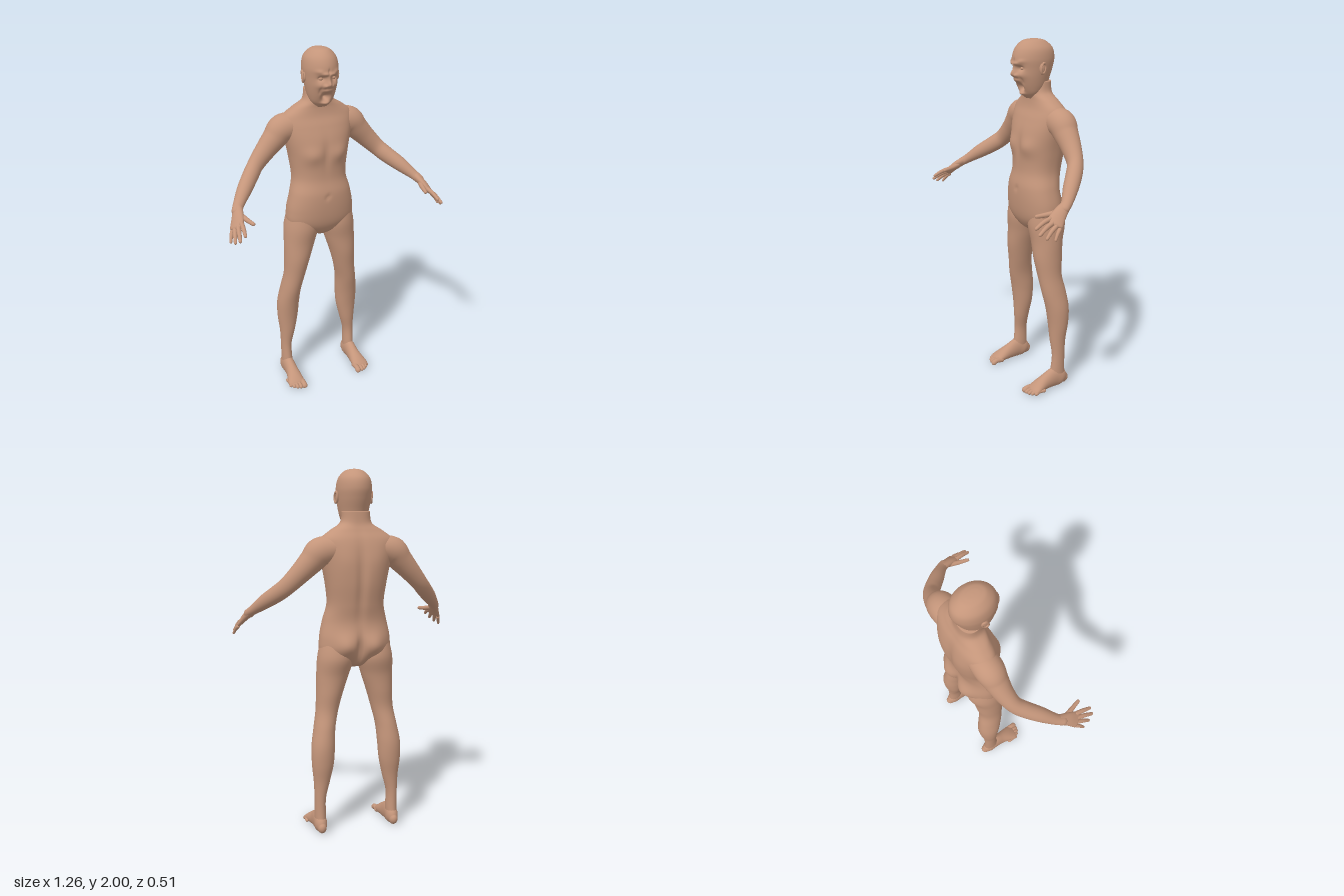
import * as THREE from 'three';

const skinTone = new THREE.MeshStandardMaterial({ color: 0xc4957a });
skinTone.name = 'skin';

const V = (x, y, z) => new THREE.Vector3(x, y, z);

// Smoothly refine rows of numbers, n steps between neighbouring rows
function refine(rows, n) {
  const out = [], last = rows.length - 1;
  for (let i = 0; i <= last * n; i++) {
    const k = Math.min(Math.floor(i / n), last - 1), t = i / n - k;
    const [a, b, c, d] = [k - 1, k, k + 1, k + 2].map(j => rows[Math.max(0, Math.min(last, j))]);
    out.push(b.map((p, q) => p + 0.5 * t * (c[q] - a[q]
      + t * (2 * a[q] - 5 * p + 4 * c[q] - d[q] + t * (3 * (p - c[q]) + d[q] - a[q])))));
  }
  return out;
}

// Join closed rings into a smooth surface; side -1 mirrors it across x
function skin(name, rings, side = 1) {
  const m = rings[0].length, n = rings.length, pos = [], idx = [];
  const mean = r => r.reduce((s, p) => s.add(p), V(0, 0, 0)).divideScalar(m);
  for (const p of [...rings.flat(), mean(rings[0]), mean(rings[n - 1])]) pos.push(p.x * side, p.y, p.z);
  const tri = (a, b, c) => side > 0 ? idx.push(a, b, c) : idx.push(a, c, b);
  for (let j = 0; j < m; j++) {
    const k = (j + 1) % m;
    for (let i = 0; i < n - 1; i++) {
      const a = i * m, b = a + m;
      tri(a + j, a + k, b + k);
      tri(a + j, b + k, b + j);
    }
    tri(n * m, k, j);
    tri(n * m + 1, (n - 1) * m + j, (n - 1) * m + k);
  }
  const geo = new THREE.BufferGeometry();
  geo.setAttribute('position', new THREE.Float32BufferAttribute(pos, 3));
  geo.setIndex(idx);
  geo.computeVertexNormals();
  const mesh = new THREE.Mesh(geo, skinTone);
  mesh.name = name;
  return mesh;
}

// Round-ended limb along a path; rows are [x, y, z, radius along ref, radius across]
function limb(name, rows, ref, side, m = 20, floor = -1) {
  const s = refine(rows, 6), c = s.map(r => V(r[0], r[1], r[2])), rings = [];
  const add = (i, angle, dir) => {
    const t = c[Math.min(i + 1, c.length - 1)].clone().sub(c[Math.max(i - 1, 0)]).normalize();
    const u = ref.clone().addScaledVector(t, -ref.dot(t)).normalize();
    const v = t.clone().cross(u), [a, b] = s[i].slice(3), f = Math.cos(angle);
    const o = c[i].clone().addScaledVector(t, dir * Math.sin(angle) * Math.min(a, b));
    rings.push(Array.from({ length: m }, (_, j) => {
      const q = j / m * Math.PI * 2;
      const p = o.clone().addScaledVector(u, a * f * Math.cos(q)).addScaledVector(v, b * f * Math.sin(q));
      p.y = Math.max(p.y, floor);
      return p;
    }));
  };
  for (let k = 4; k > 0; k--) add(0, k * 0.38, -1);
  s.forEach((_, i) => add(i, 0, 0));
  for (let k = 1; k < 5; k++) add(s.length - 1, k * 0.38, 1);
  return skin(name, rings, side);
}

// Upright form from rows [y, xMin, xMax, zFront, zBack], lowest first
function stack(name, rows, { side = 1, m = 40, n = 6, power = 1, relief = () => 0 } = {}) {
  const soft = q => Math.sign(q) * Math.abs(q) ** power;
  return skin(name, refine(rows, n).map(([y, x0, x1, zf, zb]) => Array.from({ length: m }, (_, j) => {
    const q = j / m * Math.PI * 2, k = -Math.sin(q);
    const x = (x0 + x1) / 2 + (x1 - x0) / 2 * soft(Math.cos(q));
    return V(x, y, (zf + zb) / 2 + (zf - zb) / 2 * soft(k) + relief(Math.abs(x), y, k));
  })), side);
}

// Sum of soft bumps [x, y, width, height, amount]
const bumps = list => (x, y) => list.reduce((sum, [cx, cy, w, h, a]) =>
  sum + a * Math.exp(-(((x - cx) / w) ** 2) - ((y - cy) / h) ** 2), 0);
const symmetric = rows => rows.map(([y, w, f, b]) => [y, -w, w, f, b]);

export function createModel() {
  const body = new THREE.Group();
  body.name = 'body';

  // Torso and neck, with chest, navel, spine groove and buttocks
  const chest = bumps([[0.085, 1.43, 0.06, 0.045, 0.018], [0, 1.19, 0.012, 0.014, -0.008], [0, 1.43, 0.02, 0.08, -0.006]]);
  const back = bumps([[0, 1.4, 0.025, 0.2, 0.014], [0.085, 1.065, 0.065, 0.06, -0.034],
    [0, 1.04, 0.016, 0.07, 0.03], [0.09, 1.52, 0.06, 0.09, -0.008]]);
  body.add(stack('torso', symmetric([
    [0.94, 0.04, -0.06, -0.14], [0.965, 0.1, -0.03, -0.18], [1.02, 0.19, 0, -0.215], [1.1, 0.198, 0.014, -0.225],
    [1.2, 0.178, 0.016, -0.217], [1.29, 0.157, 0, -0.232], [1.4, 0.168, 0, -0.25], [1.5, 0.188, -0.006, -0.25],
    [1.58, 0.205, -0.03, -0.24], [1.635, 0.2, -0.052, -0.226], [1.68, 0.145, -0.06, -0.205],
    [1.72, 0.086, -0.06, -0.19], [1.78, 0.076, -0.075, -0.185]]), {
    m: 96, n: 8, power: 0.88, relief: (x, y, k) => k > 0 ? k * chest(x, y) : -k * back(x, y) }));

  // Head with scowling brow, broad nose and wide open mouth
  const face = bumps([
    [0, 1.822, 0.014, 0.018, 0.026], [0, 1.852, 0.01, 0.025, 0.01], [0.02, 1.814, 0.01, 0.01, 0.016],
    [0.036, 1.852, 0.016, 0.012, -0.02], [0.022, 1.876, 0.022, 0.009, 0.012], [0.05, 1.888, 0.018, 0.01, 0.008],
    [0, 1.888, 0.005, 0.014, -0.008], [0.046, 1.815, 0.018, 0.018, 0.012], [0.04, 1.785, 0.007, 0.018, -0.007],
    [0, 1.75, 0.023, 0.022, -0.048], [0, 1.787, 0.03, 0.009, 0.012], [0, 1.713, 0.026, 0.01, 0.016]]);
  body.add(stack('head', symmetric([
    [1.688, 0.03, -0.05, -0.09], [1.715, 0.058, -0.022, -0.13], [1.75, 0.073, 0, -0.165], [1.8, 0.084, 0.018, -0.185],
    [1.85, 0.091, 0.024, -0.202], [1.9, 0.094, 0.03, -0.212], [1.95, 0.084, 0.014, -0.202],
    [1.985, 0.055, -0.018, -0.165], [1.997, 0.028, -0.05, -0.13], [2, 0.004, -0.085, -0.095]]), {
    m: 128, n: 10, relief: (x, y, k) => k > 0 ? k * face(x, y) : 0 }));

  for (const side of [1, -1]) {
    const tag = side > 0 ? 'left' : 'right';
    const ball = (name, r, p, scale) => {
      const mesh = new THREE.Mesh(new THREE.SphereGeometry(r, 20, 14), skinTone);
      mesh.name = tag + name;
      mesh.position.set(p[0] * side, p[1], p[2]);
      mesh.scale.set(...scale);
      body.add(mesh);
      return mesh;
    };

    // Eye and ear
    ball('Eye', 0.013, [0.036, 1.851, -0.004], [1, 0.8, 1]);
    ball('EarBase', 0.024, [0.093, 1.85, -0.09], [0.35, 1.15, 0.75]);
    const rim = new THREE.Mesh(new THREE.TorusGeometry(0.021, 0.006, 10, 28), skinTone);
    rim.name = tag + 'EarRim';
    rim.position.set(0.099 * side, 1.852, -0.093);
    rim.rotation.set(-0.2, Math.PI / 2 + 0.25 * side, 0);
    rim.scale.set(0.75, 1.3, 1);
    body.add(rim);

    // Arm
    body.add(limb(tag + 'Arm', [
      [0.11, 1.585, -0.145, 0.07, 0.075], [0.2, 1.568, -0.145, 0.079, 0.077], [0.25, 1.52, -0.142, 0.067, 0.066],
      [0.31, 1.458, -0.135, 0.056, 0.053], [0.37, 1.397, -0.117, 0.048, 0.043], [0.415, 1.354, -0.08, 0.046, 0.043],
      [0.475, 1.303, -0.018, 0.04, 0.04], [0.53, 1.252, 0.042, 0.027, 0.03], [0.552, 1.23, 0.075, 0.024, 0.028]],
    V(0, 1, 0), side, 32));

    // Hand: palm, four fingers and thumb
    const across = V(0.7, -0.6, -0.35);
    body.add(limb(tag + 'Palm', [[0.54, 1.243, 0.055, 0.027, 0.024], [0.562, 1.208, 0.11, 0.037, 0.02],
      [0.581, 1.174, 0.148, 0.043, 0.014]], across, side));
    [['Index', 0.558, 1.195, 0.16, 0.57, 1.163, 0.247], ['Middle', 0.576, 1.179, 0.157, 0.597, 1.138, 0.243],
      ['Ring', 0.592, 1.163, 0.148, 0.613, 1.119, 0.212], ['Little', 0.604, 1.149, 0.134, 0.624, 1.108, 0.17],
      ['Thumb', 0.545, 1.22, 0.09, 0.512, 1.202, 0.208]].forEach(([name, x, y, z, a, b, c], i) => {
      const r = [0.0115, 0.0118, 0.011, 0.0095, 0.013][i], bend = i < 4 ? 0.005 : -0.003;
      body.add(limb(tag + name + 'Finger', [[x, y, z, r * 1.1, r * 1.1],
        [(x + a) / 2, (y + b) / 2 + bend, (z + c) / 2, r, r], [a, b, c, r * 0.75, r * 0.75]], across, side, 12));
    });

    // Leg from ankle to hip
    body.add(stack(tag + 'Leg', [
      [0.03, 0.182, 0.242, -0.09, -0.195], [0.1, 0.18, 0.243, -0.095, -0.186], [0.2, 0.18, 0.243, -0.105, -0.184],
      [0.3, 0.156, 0.247, -0.097, -0.191], [0.4, 0.135, 0.257, -0.09, -0.207], [0.5, 0.127, 0.257, -0.075, -0.212],
      [0.6, 0.12, 0.24, -0.053, -0.199], [0.7, 0.098, 0.223, -0.037, -0.181], [0.8, 0.07, 0.219, -0.022, -0.19],
      [0.9, 0.037, 0.217, -0.018, -0.199], [1, 0.01, 0.211, -0.008, -0.222], [1.1, 0.03, 0.188, -0.02, -0.2]], { side }));

    // Foot, flat on the ground, and toes
    body.add(limb(tag + 'Foot', [
      [0.212, 0.035, -0.185, 0.025, 0.032], [0.212, 0.047, -0.16, 0.035, 0.052], [0.212, 0.058, -0.12, 0.035, 0.062],
      [0.212, 0.045, -0.06, 0.037, 0.048], [0.215, 0.032, -0.01, 0.045, 0.034], [0.219, 0.02, 0.028, 0.049, 0.02],
      [0.22, 0.016, 0.04, 0.043, 0.014]], V(1, 0, 0), side, 32, 0));
    [[0.183, 0.068, 0.017], [0.208, 0.071, 0.011], [0.227, 0.064, 0.011], [0.244, 0.052, 0.0105], [0.259, 0.036, 0.01]]
      .forEach(([x, z, r], i) => body.add(limb(tag + 'Toe' + (i + 1), [[x, 0.018, z - 0.055, r, r],
        [x, 0.02, z - 0.02, r * 0.9, r * 0.9], [x, 0.012, z, r, r]], V(1, 0, 0), side, 14, 0)));
  }
  return body;
}
